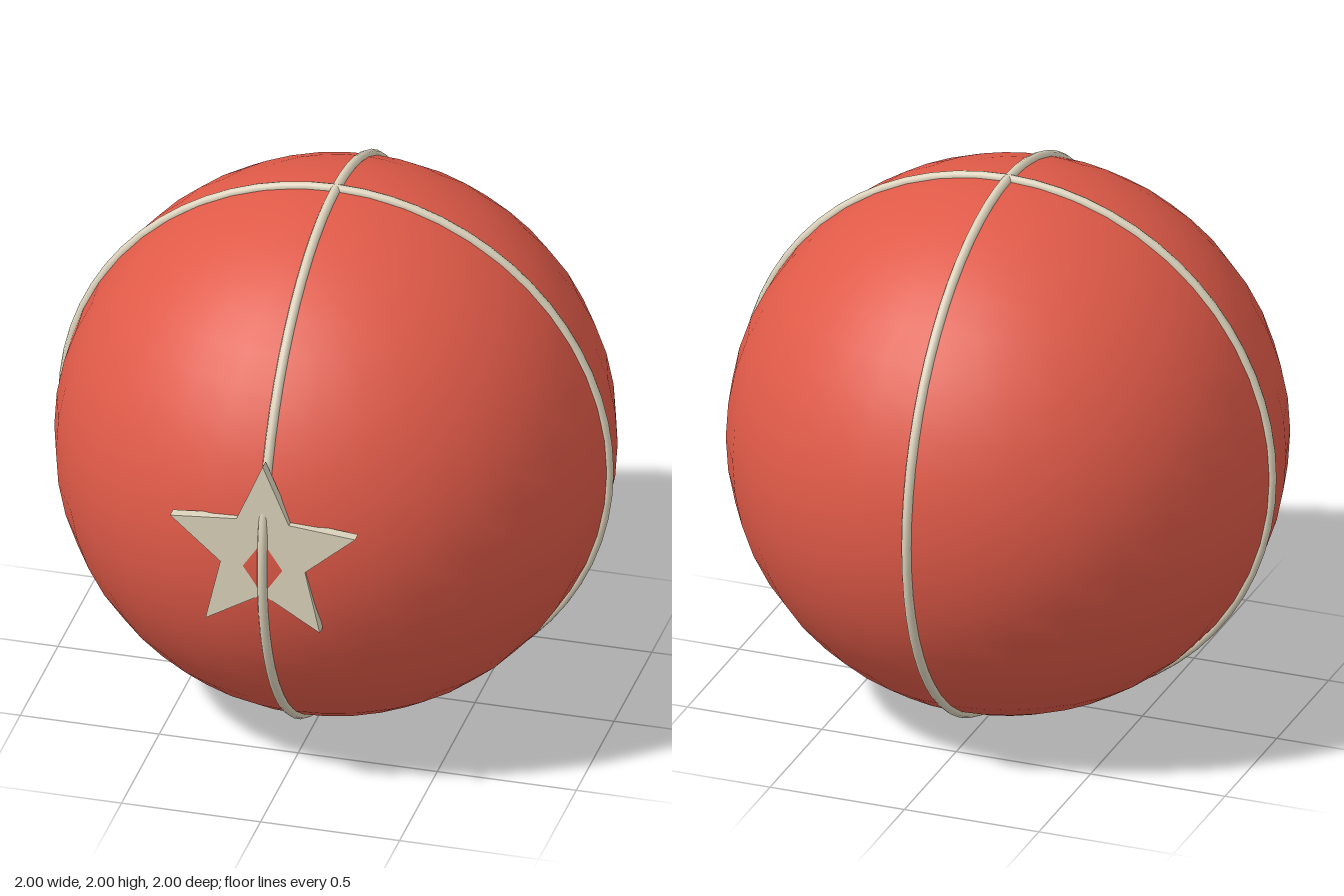
import * as THREE from 'three';

export function createModel() {
  const model = new THREE.Group();
  const red = new THREE.MeshStandardMaterial({ color: 0xe05a48 });
  red.name = 'red';
  const cream = new THREE.MeshStandardMaterial({ color: 0xdcd3bc });
  cream.name = 'cream';

  const add = (name, geometry, material, x, y, z) => {
    const mesh = new THREE.Mesh(geometry, material);
    mesh.name = name;
    mesh.position.set(x, y, z);
    model.add(mesh);
    return mesh;
  };

  // Ball
  add('ball', new THREE.SphereGeometry(0.98, 32, 24), red, 0, 1, 0);

  // Two upright seams crossing at the top and bottom
  const seam = new THREE.TorusGeometry(0.981, 0.018, 8, 64);
  add('sideSeam', seam, cream, 0, 1, 0);
  add('frontSeam', seam, cream, 0, 1, 0).rotation.y = Math.PI / 2;

  // Five-pointed star set into the front
  const points = [];
  for (let i = 0; i < 10; i++) {
    const r = i % 2 ? 0.16 : 0.35;
    const a = Math.PI / 2 + (i * Math.PI) / 5;
    points.push(new THREE.Vector2(r * Math.cos(a), r * Math.sin(a)));
  }
  const star = new THREE.ExtrudeGeometry(new THREE.Shape(points), { depth: 0.04, bevelEnabled: false });
  add('star', star, cream, 0, 1.055, 0.933);

  return model;
}
